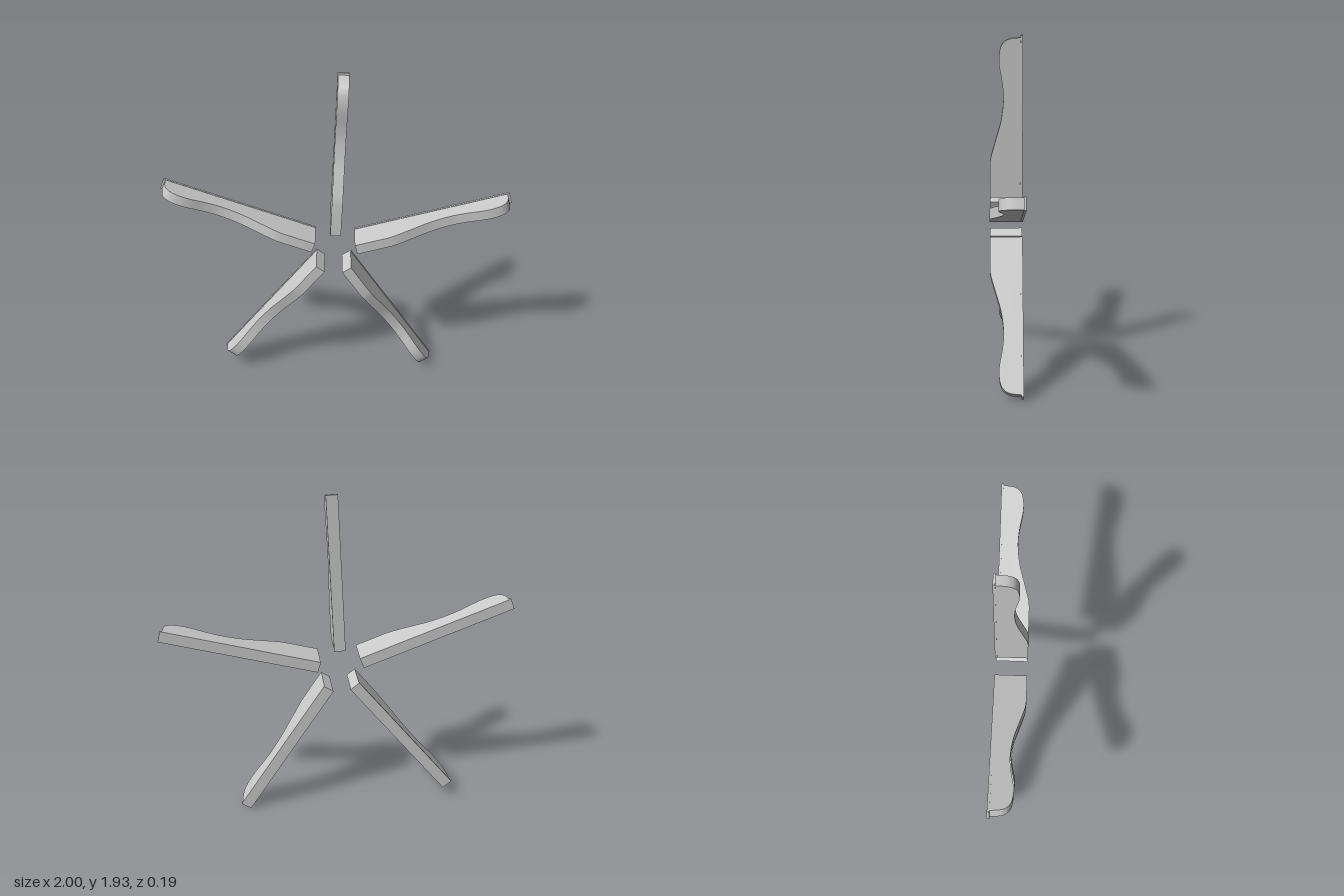
import * as THREE from 'three';
import { toCreasedNormals } from 'three/addons/utils/BufferGeometryUtils.js';

const BLADES = 5;
const START_ANGLE = 15.2; // degrees
const INNER = 0.128, OUTER = 1.042; // radial extent
const BACK = -0.093, LIP_FRONT = -0.08, FRONT = 0.093;

// Wavy front edge of a blade: [radius, depth], from hub to tip
const FRONT_EDGE = [
  [0.31, FRONT], [0.36, 0.087], [0.46, 0.059], [0.57, 0.029], [0.68, 0.016],
  [0.77, 0.021], [0.87, 0.038], [0.93, 0.04], [0.98, 0.03], [1.01, 0.008],
  [1.025, -0.025], [1.031, LIP_FRONT],
];

function bladeGeometry() {
  const shape = new THREE.Shape();
  shape.moveTo(INNER, LIP_FRONT);
  shape.lineTo(INNER, FRONT);
  shape.lineTo(...FRONT_EDGE[0]);
  shape.splineThru(FRONT_EDGE.slice(1).map(([r, z]) => new THREE.Vector2(r, z)));
  shape.closePath();
  const width = 0.06;
  const geometry = new THREE.ExtrudeGeometry(shape, { depth: width, bevelEnabled: false, curveSegments: 44 });
  geometry.translate(0, 0, -width / 2);
  geometry.rotateX(Math.PI / 2); // profile depth becomes z
  return toCreasedNormals(geometry, 0.5);
}

export function createModel() {
  const model = new THREE.Group();
  model.name = 'radialBlades';
  const material = new THREE.MeshStandardMaterial({ color: 0xcccccc });

  const body = bladeGeometry();

  // Thin back plate, slightly wider and longer than the blade
  const lip = new THREE.BoxGeometry(OUTER - INNER, 0.065, LIP_FRONT - BACK);
  lip.translate((OUTER + INNER) / 2, 0, (LIP_FRONT + BACK) / 2);

  for (let i = 0; i < BLADES; i++) {
    const blade = new THREE.Group();
    blade.name = `blade${i + 1}`;
    const bodyMesh = new THREE.Mesh(body, material);
    bodyMesh.name = 'bladeBody';
    const lipMesh = new THREE.Mesh(lip, material);
    lipMesh.name = 'backPlate';
    blade.add(bodyMesh, lipMesh);
    blade.position.set(-0.0145, 0.89, 0);
    blade.rotation.z = THREE.MathUtils.degToRad(START_ANGLE + (i * 360) / BLADES);
    model.add(blade);
  }
  return model;
}
